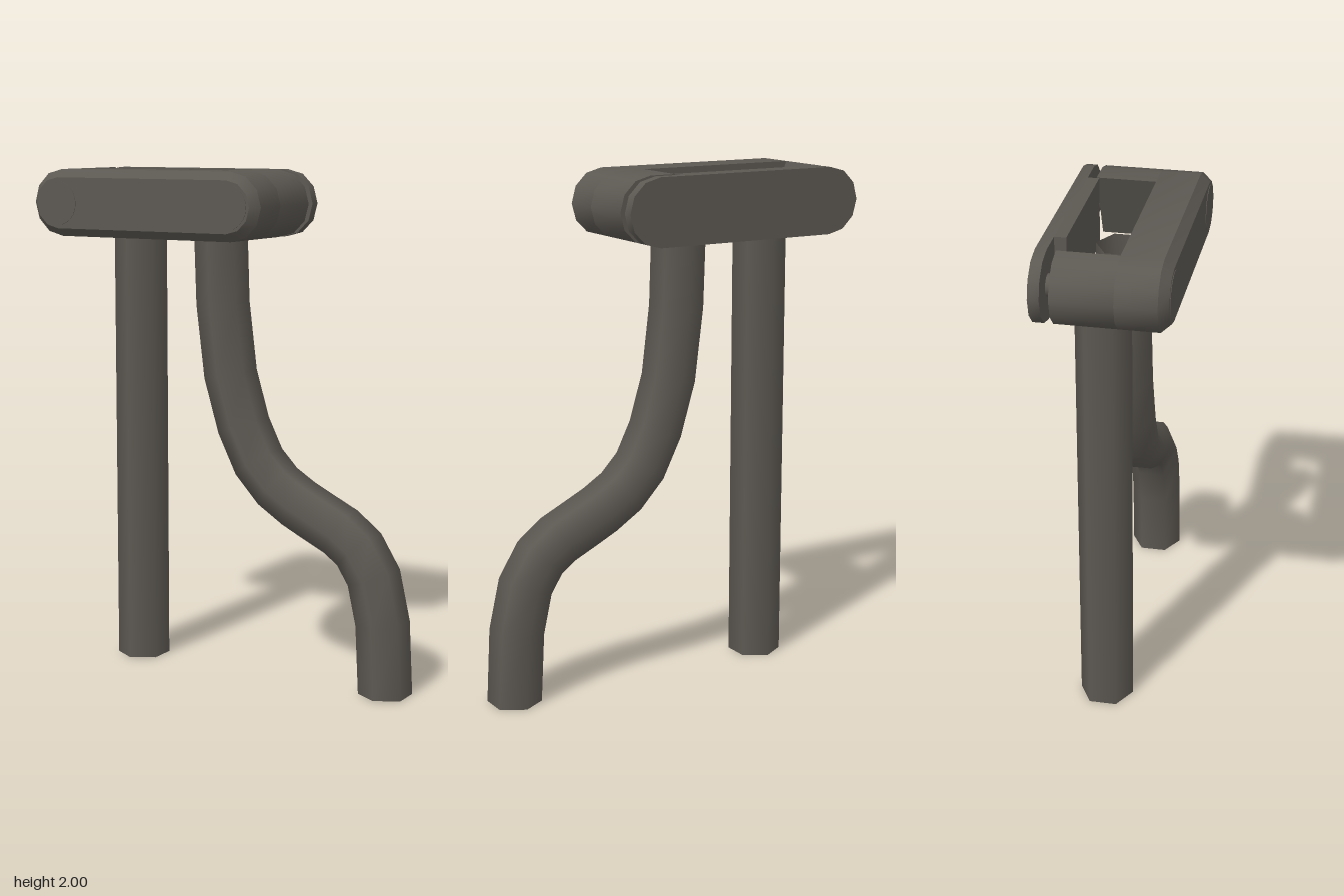
import * as THREE from 'three';
import { toCreasedNormals } from 'three/addons/utils/BufferGeometryUtils.js';

const metal = new THREE.MeshStandardMaterial({ color: 0x5c5852, side: THREE.DoubleSide });
metal.name = 'dark grey metal';

const R = 0.131;        // radius of the rounded clamp ends
const SPAN = 0.385;     // half distance between the end centres
const INNER = 0.28;     // half width of the opening
const TUBE_R = 0.105;
const TUBE_Z = -0.05;

function add(parent, name, geometry, x = 0, y = 0, z = 0) {
  const mesh = new THREE.Mesh(geometry, metal);
  mesh.name = name;
  mesh.position.set(x, y, z);
  parent.add(mesh);
  return mesh;
}

function capsuleShape() {
  const s = new THREE.Shape();
  s.absarc(SPAN, 0, R, -Math.PI / 2, Math.PI / 2);
  s.absarc(-SPAN, 0, R, Math.PI / 2, Math.PI * 1.5);
  return s;
}

// one rounded end with a straight inner edge; side is 1 or -1
function armShape(side) {
  const s = new THREE.Shape();
  const start = side > 0 ? -Math.PI / 2 : Math.PI / 2;
  s.moveTo(side * INNER, -side * R);
  s.absarc(side * SPAN, 0, R, start, start + Math.PI);
  s.lineTo(side * INNER, side * R);
  return s;
}

// extrude between two depths, optionally shrinking the front towards the centre line
function slab(shape, back, front, frontScale = 1) {
  const geometry = new THREE.ExtrudeGeometry(shape, {
    depth: front - back, bevelEnabled: false, curveSegments: 3,
  });
  const p = geometry.attributes.position;
  for (let i = 0; i < p.count; i++) {
    if (p.getZ(i) < 1e-6) continue;
    const cx = THREE.MathUtils.clamp(p.getX(i), -SPAN, SPAN);
    p.setX(i, cx + (p.getX(i) - cx) * frontScale);
    p.setY(i, p.getY(i) * frontScale);
  }
  geometry.translate(0, 0, back);
  return toCreasedNormals(geometry, 0.6);
}

// open six-sided tube whose rings follow a list of [x, y] points from top to bottom
function sweptTube(path) {
  const rows = path.length - 1;
  const geometry = new THREE.CylinderGeometry(TUBE_R, TUBE_R, 1, 6, rows, true);
  const p = geometry.attributes.position;
  const n = geometry.attributes.normal;
  for (let i = 0; i < p.count; i++) {
    const row = Math.floor(i / 7);
    const a = path[Math.max(row - 1, 0)];
    const b = path[Math.min(row + 1, rows)];
    const isEnd = row === 0 || row === rows;
    const across = isEnd
      ? new THREE.Vector2(1, 0)
      : new THREE.Vector2(a[1] - b[1], b[0] - a[0]).normalize();
    const offset = p.getX(i);
    p.setXY(i, path[row][0] + across.x * offset, path[row][1] + across.y * offset);
    n.setXYZ(i, across.x * n.getX(i), across.y * n.getX(i), n.getZ(i));
  }
  return geometry;
}

export function createModel() {
  const model = new THREE.Group();
  model.name = 'clampWithLegs';

  const clamp = new THREE.Group();
  clamp.name = 'clamp';
  clamp.position.set(-0.255, 2 - R, 0);
  model.add(clamp);

  // front bar with a chamfered face
  add(clamp, 'frontBar', slab(capsuleShape(), 0.055, 0.205));
  add(clamp, 'frontChamfer', slab(capsuleShape(), 0.205, 0.239, 0.76));

  // arms, pins and front discs at both ends
  for (const side of [1, -1]) {
    const label = side > 0 ? 'left' : 'right';
    add(clamp, label + 'Arm', slab(armShape(side), -0.168, 0.055));

    const pin = new THREE.CylinderGeometry(0.04, 0.04, 0.06, 16);
    pin.rotateX(Math.PI / 2);
    add(clamp, label + 'Pin', pin, side * SPAN, 0, -0.184);

    const disc = new THREE.CylinderGeometry(0.087, 0.087, 0.004, 24);
    disc.rotateX(Math.PI / 2);
    add(clamp, label + 'Disc', disc, side * SPAN, 0, 0.239);
  }

  // back plate with a raised inner block
  add(clamp, 'backPlate', slab(capsuleShape(), -0.241, -0.2));
  add(clamp, 'backBlock', new THREE.BoxGeometry(0.55, R * 2, 0.043), 0, 0, -0.1785);

  // legs
  add(model, 'straightLeg', sweptTube([[-0.44, 1.78], [-0.44, 0]]), 0, 0, TUBE_Z);
  add(model, 'curvedLeg', sweptTube([
    [-0.065, 1.78], [-0.055, 1.48], [-0.02, 1.2], [0.04, 1.0], [0.11, 0.86],
    [0.195, 0.77], [0.29, 0.71], [0.375, 0.668], [0.475, 0.62], [0.555, 0.56],
    [0.62, 0.456], [0.66, 0.28], [0.675, 0],
  ]), 0, 0, TUBE_Z);

  return model;
}
